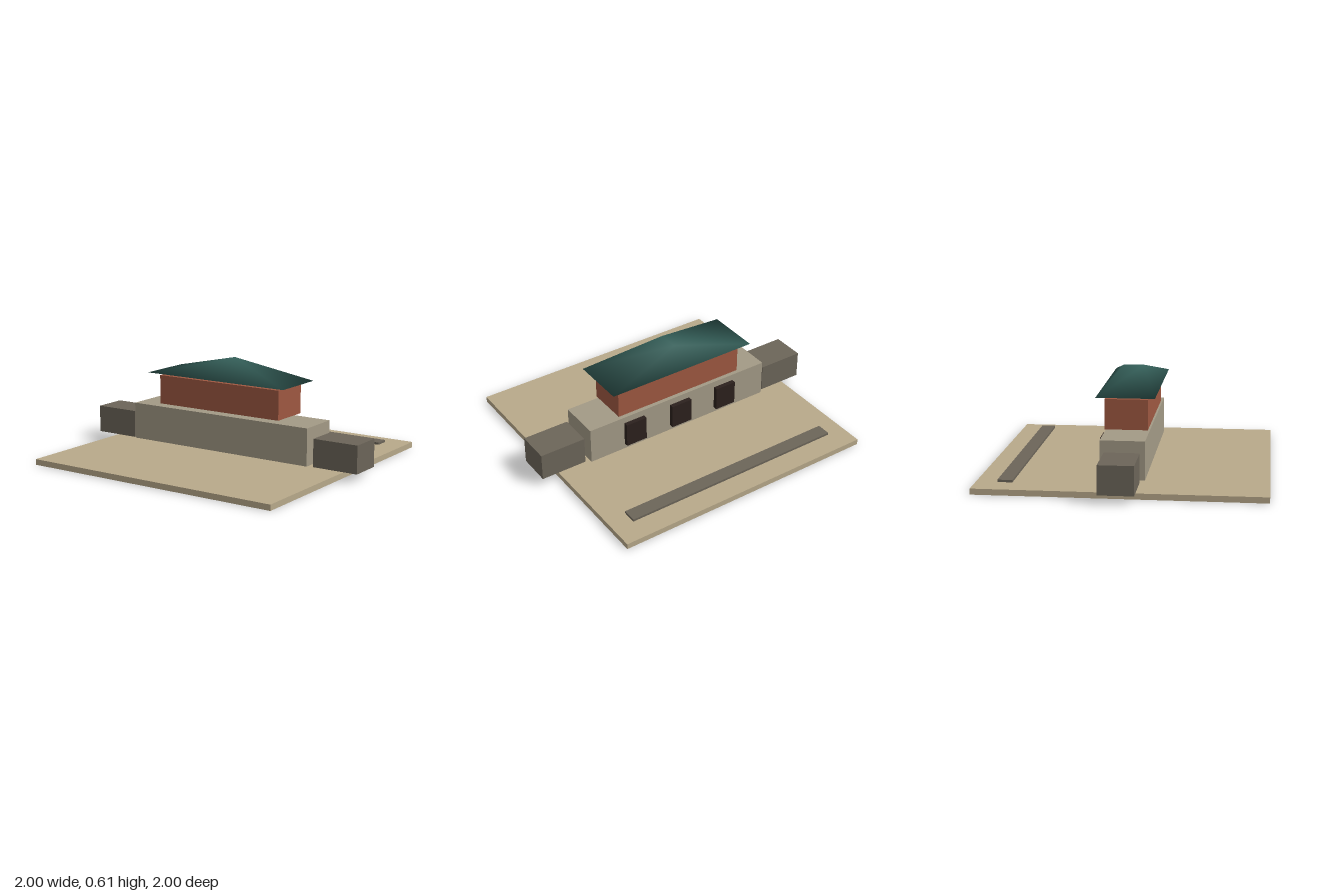
import * as THREE from 'three';

const mat = (color) => new THREE.MeshStandardMaterial({ color });

export function createModel() {
  const model = new THREE.Group();
  model.name = 'building';
  // the whole site is turned a little on its plot
  const site = new THREE.Group();
  site.name = 'site';
  site.rotation.y = -0.2197;
  model.add(site);

  const ground = mat(0xb8a98a);
  const stone = mat(0xa39a86);
  const darkStone = mat(0x6c6559);
  const brick = mat(0x9e5841);
  const glass = mat(0x2c211d);
  const roofGreen = mat(0x35605a);
  roofGreen.side = THREE.DoubleSide;

  // box given by its width, bottom, top, depth and centre
  const box = (name, material, w, y0, y1, d, x = 0, z = 0) => {
    const mesh = new THREE.Mesh(new THREE.BoxGeometry(w, y1 - y0, d), material);
    mesh.name = name;
    mesh.position.set(x, (y0 + y1) / 2, z);
    site.add(mesh);
  };

  box('groundPlate', ground, 1.675, 0, 0.035, 1.675);
  box('backPath', darkStone, 1.424, 0.043, 0.057, 0.087, 0, -0.663);
  box('lowerStorey', stone, 1.27, 0.055, 0.283, 0.26);
  box('upperStorey', brick, 0.87, 0.302, 0.482, 0.252);

  // side wings
  for (const s of [-1, 1])
    box(s > 0 ? 'leftWing' : 'rightWing', darkStone, 0.29, 0.05, 0.22, 0.205, s * 0.807);

  // projecting bays along the back wall
  for (const x of [-0.33, 0, 0.33])
    box('backBay', glass, 0.14, 0.09, 0.242, 0.04, x, -0.138);

  // roof: rectangular eaves rising to a short ridge across the depth, shared smooth normals
  const hw = 0.495, hd = 0.172, rd = 0.0625, y0 = 0.5, y1 = 0.612;
  const roof = new THREE.BufferGeometry();
  roof.setAttribute('position', new THREE.Float32BufferAttribute([
    -hw, y0, -hd, hw, y0, -hd, hw, y0, hd, -hw, y0, hd,
    0, y1, -rd, 0, y1, rd,
  ], 3));
  roof.setIndex([
    3, 2, 5, // front
    1, 0, 4, // back
    2, 1, 4, 2, 4, 5, // left slope
    0, 3, 5, 0, 5, 4, // right slope
    0, 1, 3, 1, 2, 3, // underside
  ]);
  roof.computeVertexNormals();
  const roofMesh = new THREE.Mesh(roof, roofGreen);
  roofMesh.name = 'roof';
  site.add(roofMesh);

  return model;
}
